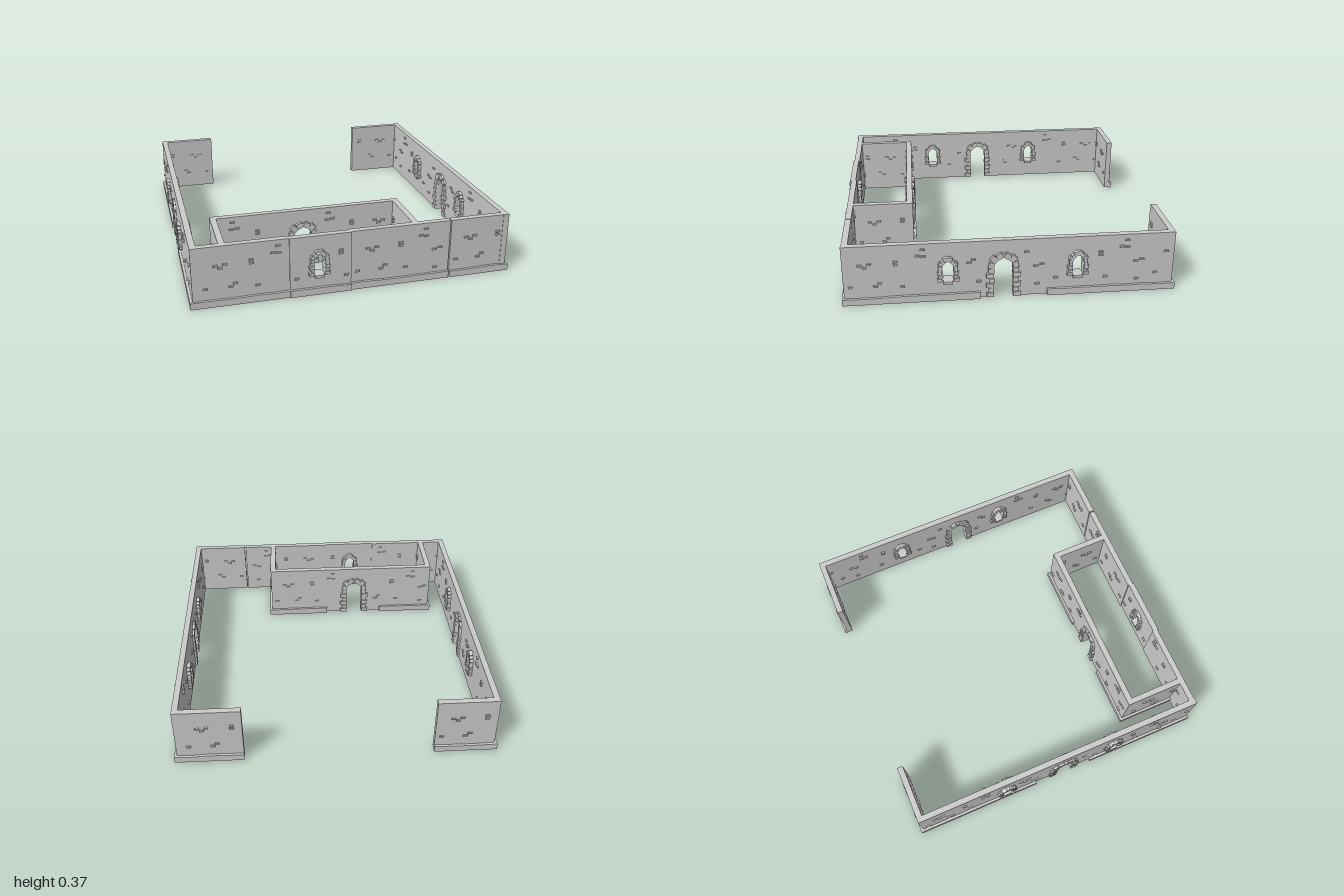
import * as THREE from 'three';
import { mergeGeometries } from 'three/addons/utils/BufferGeometryUtils.js';

const H = 0.375, BASE = 0.006, T = 0.037, PLINTH = 0.044;
const mat = new THREE.MeshStandardMaterial({ color: 0xcccccc, flatShading: true });

let seed = 7;
const rand = () => (seed = (seed * 16807) % 2147483647) / 2147483647;
const vary = (a) => (rand() - 0.5) * 2 * a;

// Opening sizes: half width, bottom, spring line and apex of the pointed arch
const KINDS = {
  window: { w: 0.038, y0: 0.13, spring: 0.215, apex: 0.268, depth: 0.08, stone: 0.03, rows: 4, clear: 0.095 },
  door: { w: 0.06, y0: BASE, spring: 0.2, apex: 0.272, depth: 0.066, stone: 0.045, rows: 6, clear: 0.135 },
};

// Protruding bricks of one wall stretch: position along it and height
const BRICKS = [
  [0.03, 0.115], [0.09, 0.255], [0.145, 0.26], [0.118, 0.24], [0.2, 0.135], [0.175, 0.115],
  [0.295, 0.27], [0.295, 0.25], [0.33, 0.105], [0.45, 0.34], [0.42, 0.3], [0.455, 0.295],
  [0.51, 0.2], [0.545, 0.21], [0.52, 0.08],
];
const PERIOD = 0.6;

// Rough stone: a box whose outer faces are slightly smaller
function stone(w, h, d, x, y, z, angle = 0) {
  const g = new THREE.BoxGeometry(w, h, d, 1, 1, 2);
  const p = g.attributes.position;
  for (let i = 0; i < p.count; i++) {
    if (Math.abs(p.getZ(i)) > d * 0.4) p.setXY(i, p.getX(i) * 0.88, p.getY(i) * 0.85);
  }
  g.rotateZ(angle);
  g.translate(x, y, z);
  return g;
}

function mesh(name, geometry) {
  const m = new THREE.Mesh(geometry, mat);
  m.name = name;
  return m;
}

// Adds the arched top of an opening to a path, from its right spring point to its left one
function archTo(path, c, k) {
  const cy = k.spring + (k.apex - k.spring) * 0.65;
  path.quadraticCurveTo(c + k.w, cy, c, k.apex);
  path.quadraticCurveTo(c - k.w, cy, c - k.w, k.spring);
}

// Wall slab with door notches and window holes
function slab(a, b, openings) {
  const s = new THREE.Shape();
  s.moveTo(a, BASE);
  s.lineTo(a, H);
  s.lineTo(b, H);
  s.lineTo(b, BASE);
  openings.filter((o) => o.kind === 'door').sort((p, q) => q.c - p.c).forEach(({ c }) => {
    const k = KINDS.door;
    s.lineTo(c + k.w, BASE);
    s.lineTo(c + k.w, k.spring);
    archTo(s, c, k);
    s.lineTo(c - k.w, BASE);
  });
  s.closePath();
  openings.filter((o) => o.kind === 'window').forEach(({ c }) => {
    const k = KINDS.window, h = new THREE.Path();
    h.moveTo(c - k.w, k.y0);
    h.lineTo(c + k.w, k.y0);
    h.lineTo(c + k.w, k.spring);
    archTo(h, c, k);
    h.closePath();
    s.holes.push(h);
  });
  const g = new THREE.ExtrudeGeometry(s, { depth: T, bevelEnabled: false, curveSegments: 8 });
  return g.translate(0, 0, -T);
}

// Jamb stones, arch stones and sill around an opening
function surround({ kind, c }) {
  const k = KINDS[kind], parts = [], z = -T / 2;
  const rowH = (k.spring - k.y0) / k.rows;
  const cy = k.spring + (k.apex - k.spring) * 0.65;
  const curve = new THREE.QuadraticBezierCurve(new THREE.Vector2(k.w, k.spring),
    new THREE.Vector2(k.w, cy), new THREE.Vector2(0, k.apex));
  const n = kind === 'door' ? 3 : 4;
  for (const side of [-1, 1]) {
    for (let i = 0; i < k.rows; i++) {
      const w = k.stone * (i % 2 ? 0.8 : 1.1) + vary(0.002);
      parts.push(stone(w, rowH * 1.02, k.depth + vary(0.006),
        c + side * (k.w - 0.006 + w / 2), k.y0 + (i + 0.5) * rowH, z));
    }
    for (let i = 0; i < n; i++) {
      const t = (i + 0.45) / n, p = curve.getPointAt(t), d = curve.getTangentAt(t);
      const w = k.stone * (i % 2 ? 1.05 : 0.85), off = w / 2 - 0.006;
      parts.push(stone(w, curve.getLength() / n * 1.25, k.depth + vary(0.006),
        c + side * (p.x + d.y * off), p.y - d.x * off, z, side * Math.atan2(-d.x, d.y)));
    }
  }
  // Keystone, and a sill under windows
  parts.push(stone(k.stone * 1.0, 0.024, k.depth, c, k.apex + 0.009, z));
  if (kind === 'window') parts.push(stone(0.06, 0.022, k.depth, c, k.y0 - 0.009, z));
  return mesh(kind + 'Surround', mergeGeometries(parts));
}

// Low skirting along the outer face with a slightly worn top edge
function plinth(a, b) {
  const s = new THREE.Shape();
  s.moveTo(a, BASE - 0.004);
  s.lineTo(b, BASE - 0.004);
  const n = Math.max(2, Math.round((b - a) / 0.1));
  for (let i = n; i >= 0; i--) s.lineTo(a + (b - a) * i / n, PLINTH + vary(0.003));
  s.closePath();
  const g = new THREE.ExtrudeGeometry(s, { depth: 0.02, bevelEnabled: false });
  return mesh('plinth', g.translate(0, 0, -0.004));
}

// Bricks show on both faces and keep clear of openings and ends
function bricks(a, b, openings) {
  const parts = [];
  for (let start = a; start < b; start += PERIOD) {
    for (const [dx, y] of BRICKS) {
      const u = start + dx + 0.01;
      if (u > b - 0.03 || openings.some((o) => Math.abs(u - o.c) < KINDS[o.kind].clear)) continue;
      parts.push(stone(0.03, 0.012, T + 0.018, u, y, -T / 2));
    }
  }
  return mesh('bricks', mergeGeometries(parts));
}

// Wall running from a to b along local x, facing local +z, then turned and moved outwards
function wall(name, turn, outer, a, b, plinths, openings = []) {
  const g = new THREE.Group();
  g.name = name;
  g.add(mesh('slab', slab(a, b, openings)));
  g.add(bricks(a, b, openings));
  plinths.forEach(([p, q]) => g.add(plinth(p, q)));
  openings.forEach((o) => g.add(surround(o)));
  g.rotation.y = turn;
  g.position.set(Math.sin(turn) * outer, 0, Math.cos(turn) * outer);
  return g;
}

export function createModel() {
  const model = new THREE.Group();
  model.name = 'castleWalls';
  const door = (c) => ({ kind: 'door', c });
  const win = (c) => ({ kind: 'window', c });
  const R = Math.PI / 2;

  model.add(
    // Long side walls with a door between two windows
    wall('rightWall', -R, 0.968, -0.98, 0.97, [[-0.98, -0.17], [0.225, 0.97]], [win(-0.38), door(0.03), win(0.39)]),
    wall('leftWall', R, 0.963, -0.97, 0.98, [[-0.97, -0.177], [0.22, 0.98]], [win(-0.365), door(-0.04), win(0.40)]),
    // Front wall in four sections
    wall('frontWallCorner', 0, 0.967, -0.931, -0.405, [[-0.984, -0.405]]),
    wall('frontWallWindow', 0, 0.974, -0.405, -0.035, [[-0.405, -0.035]], [win(-0.23)]),
    wall('frontWallMiddle', 0, 0.967, -0.035, 0.582, [[-0.035, 0.582]]),
    wall('frontWallEnd', 0, 0.967, 0.589, 0.926, [[0.589, 0.979]]),
    // Short returns at the open back
    wall('backReturnRight', 2 * R, 0.981, 0.595, 0.931, [[0.595, 0.984]]),
    wall('backReturnLeft', 2 * R, 0.981, -0.926, -0.56, [[-0.979, -0.56]]),
    // Inner room against the front wall
    wall('roomRightWall', -R, 0.805, 0.593, 0.932, [[0.556, 0.932]]),
    wall('roomLeftWall', R, 0.387, -0.932, -0.593, [[-0.932, -0.556]]),
  );

  // Room's back wall faces the courtyard from the front half
  model.add(wall('roomBackWall', 2 * R, -0.556, -0.387, 0.805, [[-0.403, 0.03], [0.43, 0.821]], [door(0.235)]));
  return model;
}
